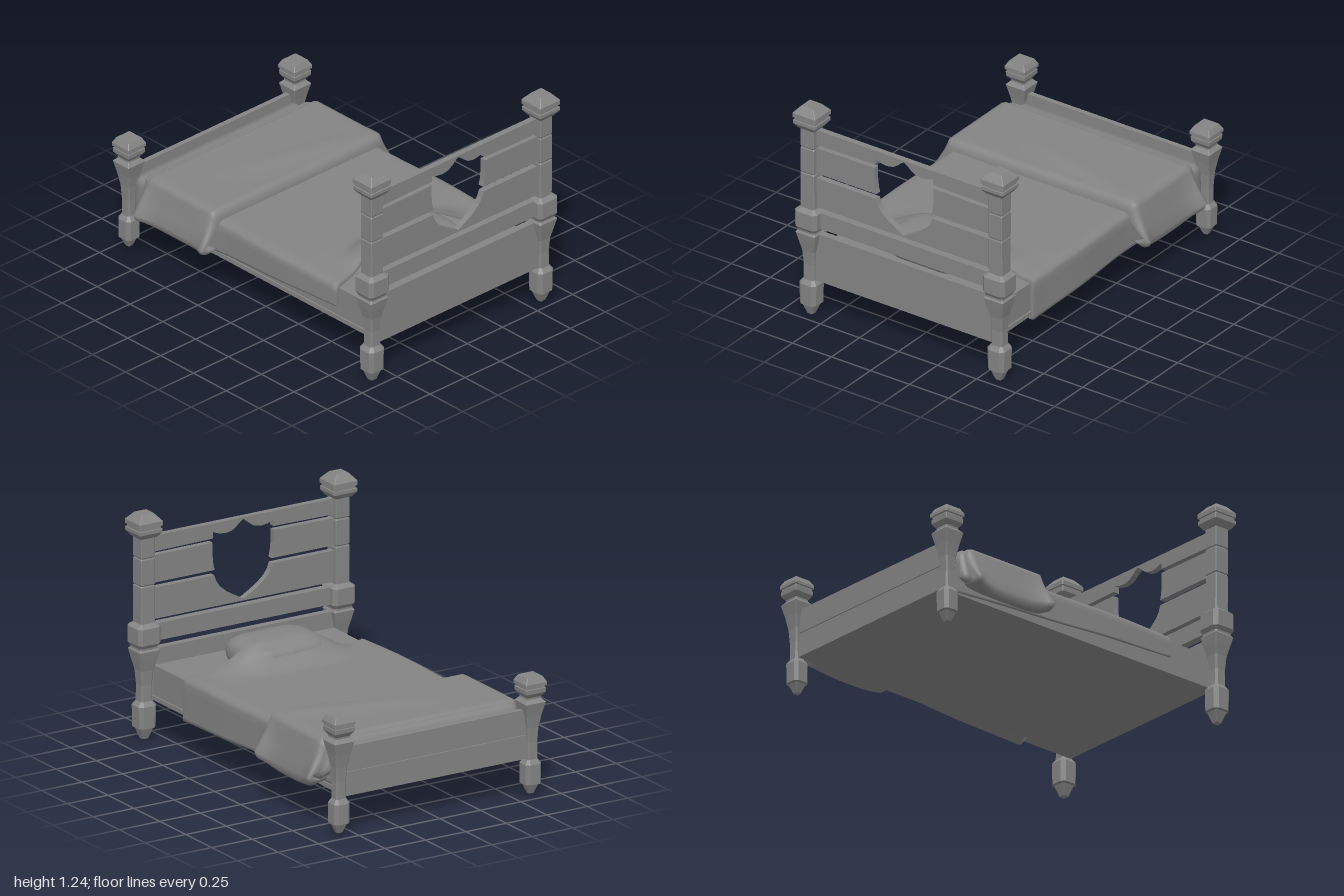
import * as THREE from 'three';

const flat = new THREE.MeshStandardMaterial({ color: 0x848484, flatShading: true });
const soft = new THREE.MeshStandardMaterial({ color: 0x848484, side: THREE.DoubleSide });
const smooth = (a, b, x) => THREE.MathUtils.smoothstep(x, a, b);

// Skin between successive cross-sections (arrays of Vector3 of equal length)
function loft(rings, closed) {
  const n = rings[0].length, index = [];
  for (let i = 0; i < rings.length - 1; i++) {
    for (let j = 0; j < (closed ? n : n - 1); j++) {
      const a = i * n + j, b = i * n + (j + 1) % n;
      index.push(a, a + n, b, b, a + n, b + n);
    }
  }
  const g = new THREE.BufferGeometry().setFromPoints(rings.flat());
  g.setIndex(index);
  g.computeVertexNormals();
  return g;
}

// Square post with chamfered corners; rows are [y, half width, chamfer]
function postGeometry(rows) {
  const all = [[rows[0][0], 0, 0], ...rows, [rows[rows.length - 1][0], 0, 0]];
  return loft(all.map(([y, h, c]) => {
    const k = h - c;
    return [[h, -k], [h, k], [k, h], [-k, h], [-h, k], [-h, -k], [-k, -h], [k, -h]]
      .map(([x, z]) => new THREE.Vector3(x, y, z));
  }), true);
}

// Cloth draped over the bed: rows run along x, each section goes from the +z hem over to the -z hem
function drape(rows, bump, shift = () => 0) {
  return loft(rows.map(({ x, top, w, flare = 0, hemL, hemR }) => {
    const r = 0.03, pts = [];
    const side = (s, hem) => {
      const drop = top - r - hem;
      return [
        [w - 0.05, hem + 0.02], [w + flare * 0.55, hem], [w + flare * 0.9, hem + drop * 0.08],
        [w + flare, hem + drop * 0.22], [w + flare * 0.6, hem + drop * 0.5], [w + flare * 0.2, hem + drop * 0.8],
        [w, top - r], [w - r * 0.3, top - r * 0.3], [w - r, top],
      ].map(([z, y]) => [s * z, y]);
    };
    pts.push(...side(1, hemL));
    for (let i = 1; i < 28; i++) pts.push([(w - r) * (1 - i / 14), top]);
    pts.push(...side(-1, hemR).reverse());
    return pts.map(([z, y]) => new THREE.Vector3(x + shift(x, z), y + bump(x, z), z));
  }), false);
}

// Plank outline in the plane of the headboard, given as points
function plankGeometry(points) {
  const shape = new THREE.Shape(points.map(([x, y]) => new THREE.Vector2(x, y)));
  const g = new THREE.ExtrudeGeometry(shape, { depth: 0.035, bevelEnabled: false });
  return g.rotateY(Math.PI / 2).translate(0.905, 0, 0);
}

export function createModel() {
  const root = new THREE.Group();
  root.name = 'bed';
  const body = new THREE.Group();
  body.name = 'bedParts';
  body.position.z = 0.008;
  root.add(body);
  const add = (name, geometry, material = flat) => {
    const m = new THREE.Mesh(geometry, material);
    m.name = name;
    body.add(m);
    return m;
  };
  const box = (name, x0, x1, y0, y1, w) => add(name, new THREE.BoxGeometry(x1 - x0, y1 - y0, 2 * w)
    .translate((x0 + x1) / 2, (y0 + y1) / 2, 0));

  // Four turned posts
  const headPost = postGeometry([
    [0, 0.018, 0.004], [0.06, 0.04, 0.01], [0.065, 0.052, 0.02], [0.185, 0.054, 0.02], [0.21, 0.036, 0.012],
    [0.3, 0.034, 0.01], [0.38, 0.04, 0.01], [0.44, 0.053, 0.008], [0.49, 0.062, 0.004], [0.5, 0.054, 0.006],
    [0.51, 0.055, 0.01], [0.53, 0.07, 0.02], [0.62, 0.07, 0.02], [0.64, 0.044, 0.008],
    [0.84, 0.043, 0.004], [0.847, 0.039, 0.004], [0.854, 0.043, 0.004],
    [0.99, 0.043, 0.004], [0.997, 0.039, 0.004], [1.004, 0.043, 0.004],
    [1.11, 0.043, 0.004], [1.112, 0.052, 0.004], [1.14, 0.072, 0.004], [1.158, 0.072, 0.004],
    [1.16, 0.066, 0.004], [1.174, 0.066, 0.004], [1.176, 0.073, 0.004], [1.2, 0.073, 0.004], [1.24, 0.038, 0.003],
  ]);
  const footPost = postGeometry([
    [0.015, 0.015, 0.004], [0.065, 0.036, 0.01], [0.07, 0.047, 0.018], [0.18, 0.048, 0.018], [0.205, 0.031, 0.01],
    [0.3, 0.03, 0.008], [0.38, 0.035, 0.008], [0.45, 0.046, 0.006], [0.52, 0.061, 0.004], [0.54, 0.042, 0.004],
    [0.55, 0.042, 0.004], [0.56, 0.05, 0.004], [0.575, 0.06, 0.004], [0.598, 0.061, 0.004], [0.6, 0.057, 0.004],
    [0.612, 0.057, 0.004], [0.614, 0.065, 0.004], [0.63, 0.065, 0.004], [0.66, 0.048, 0.003],
  ]);
  for (const s of [1, -1]) {
    const side = s > 0 ? 'Left' : 'Right';
    add('headPost' + side, headPost).position.set(0.925, 0, s * 0.602);
    add('footPost' + side, footPost).position.set(-0.935, 0, s * 0.592);
  }

  // Headboard planks with a shield-shaped opening
  const w = 0.575;
  const mirrored = (half) => [...half, ...half.slice().reverse().map(([x, y]) => [-x, y])];
  add('headboardTopPlank', plankGeometry(mirrored([
    [-w, 1.108], [-w, 1.02], [-0.187, 1.025], [-0.187, 1.06], [-0.15, 1.046], [-0.11, 1.041], [-0.07, 1.048],
    [-0.04, 1.068], [-0.02, 1.086], [-0.002, 1.097],
  ])));
  for (const s of [1, -1]) {
    const pts = [[w, 0.85], [w, 1.0], [0.19, 1.003], [0.19, 0.93], [0.185, 0.88], [0.177, 0.85]];
    add('headboardMiddlePlank', plankGeometry(pts.map(([x, y]) => [x * s, y])));
  }
  add('headboardLowerPlank', plankGeometry(mirrored([
    [-w, 0.65], [-w, 0.822], [-0.18, 0.822], [-0.167, 0.787], [-0.145, 0.755], [-0.1, 0.717], [-0.05, 0.687], [-0.004, 0.662],
  ])));
  box('headboardRail', 0.9, 0.945, 0.53, 0.625, w);
  box('headboardPanel', 0.9, 0.94, 0.21, 0.49, 0.58);

  // Footboard planks
  box('footboardLowerPlank', -0.95, -0.917, 0.21, 0.34, w);
  box('footboardUpperPlank', -0.948, -0.919, 0.347, 0.48, w);
  box('footboardBacking', -0.942, -0.925, 0.33, 0.36, w);

  // Base and mattress
  box('bedBase', -0.93, 0.92, 0.21, 0.235, 0.565);
  box('mattress', -0.915, 0.9, 0.235, 0.4, 0.556);

  // Pillow: a sphere squared off into a cushion
  const pillow = new THREE.SphereGeometry(1, 40, 24);
  const p = pillow.attributes.position;
  const puff = (v, e) => Math.sign(v) * Math.pow(Math.abs(v), e);
  for (let i = 0; i < p.count; i++) {
    p.setXYZ(i, 0.62 + 0.185 * puff(p.getX(i), 0.7), 0.46 + 0.09 * puff(p.getY(i), 0.9), 0.017 + 0.248 * puff(p.getZ(i), 0.4));
  }
  pillow.computeVertexNormals();
  add('pillow', pillow, soft);

  // Blanket, lifted over the pillow and with a wavy head edge
  const rows = [];
  const blanketRow = (x, inset) => ({
    x, top: 0.43 - inset - 0.008 * smooth(0.3, 0.6, x), w: 0.582 + 0.004 * Math.sin(x * 9) - inset,
    hemL: 0.265 + 0.06 * x, hemR: 0.213 - 0.047 * x,
  });
  rows.push(blanketRow(-0.912, 0.025));
  for (let i = 0; i <= 40; i++) rows.push(blanketRow(-0.91 + 1.455 * i / 40, 0));
  rows.push(blanketRow(0.553, 0.006), blanketRow(0.553, 0.024));
  const hump = (x, z) => 0.135 * smooth(0.35, 0.54, x) * (1 - smooth(0.13, 0.46, Math.abs(z)));
  const headEdge = (x, z) => smooth(0.1, 0.55, x) * (z > 0.1 ? 0.08 * ((z - 0.1) / 0.48) ** 2 : 0.04 * ((z - 0.1) / 0.68) ** 2);
  add('blanket', drape(rows, hump, headEdge), soft);

  // Folded throw across the foot, in two layers, the upper one flaring at its corners
  const foldedThrow = ({ x0, x1, top, wide, flare, corner, hemL, hemR }) => {
    const list = [], n = 36, d = 0.04;
    for (let i = 0; i <= n; i++) {
      const t = -Math.cos(Math.PI * i / n);
      const x = (x0 + x1) / 2 + (x1 - x0) / 2 * t;
      const edge = Math.min(x - x0, x1 - x) / d;
      const round = edge < 1 ? 1 - Math.sqrt(Math.max(0, 1 - (1 - edge) ** 2)) : 0;
      const lift = 0.015 * Math.pow(Math.abs(t), 3);
      list.push({
        x, top: top - 0.06 * round, w: wide - 0.03 * round,
        flare: flare + corner * Math.pow(Math.abs(t), 4) - 0.02 * round,
        hemL: hemL + lift + 0.02 * round, hemR: hemR + lift * 3 + 0.02 * round,
      });
    }
    return list;
  };
  const crease = (x, z) => 0.009 * Math.exp(-(((x + 0.4 + 0.25 * (z + 0.3)) / 0.07) ** 2)) * (1 - smooth(0.2, 0.55, Math.abs(z + 0.2)));
  add('throwUnderLayer', drape(foldedThrow({
    x0: -0.84, x1: -0.55, top: 0.475, wide: 0.588, flare: 0.03, corner: 0.01, hemL: 0.27, hemR: 0.26,
  }), () => 0), soft);
  add('throwTopLayer', drape(foldedThrow({
    x0: -0.805, x1: -0.268, top: 0.487, wide: 0.608, flare: 0.042, corner: 0.07, hemL: 0.235, hemR: 0.205,
  }), crease), soft);

  return root;
}
